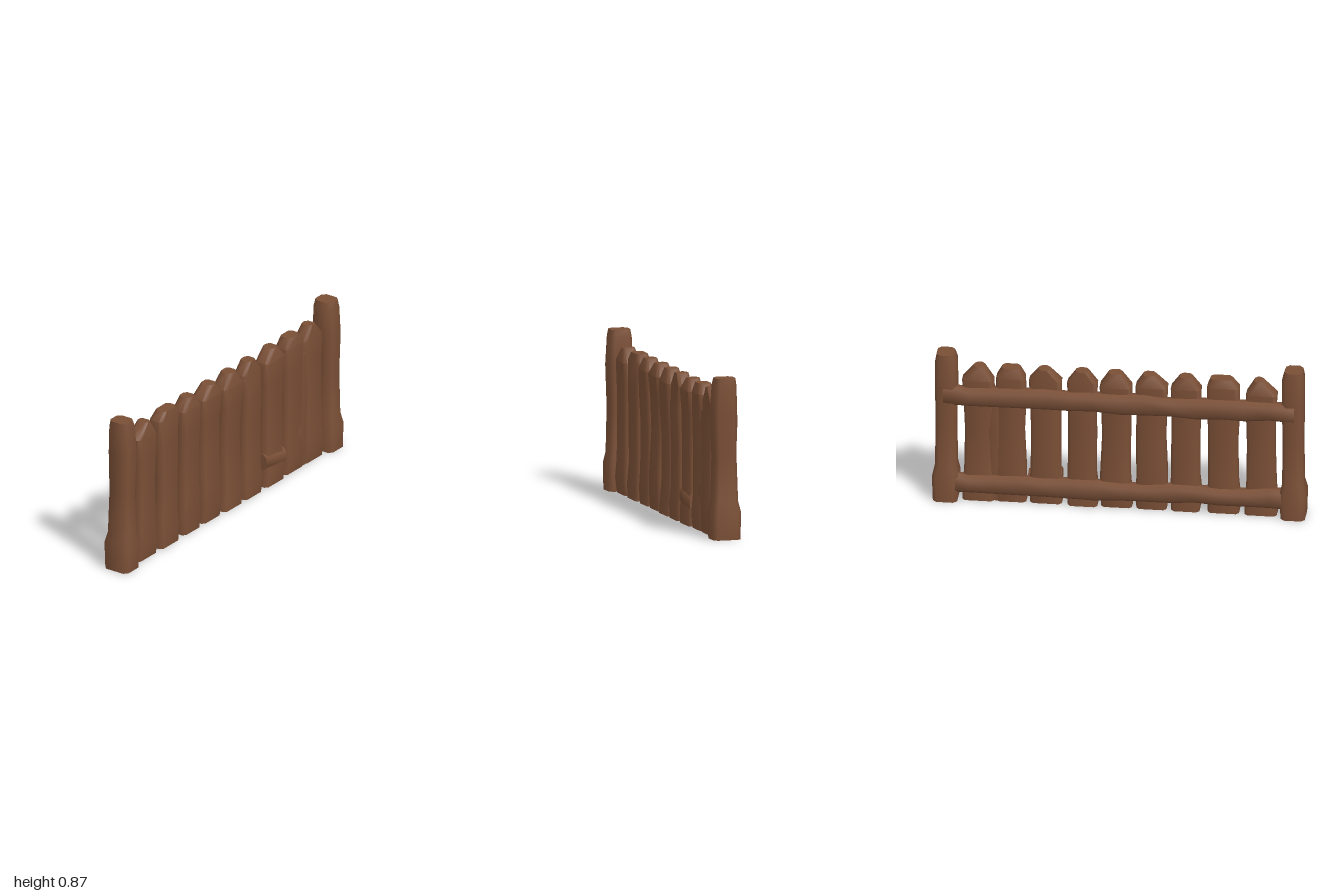
import * as THREE from 'three';
import { toCreasedNormals } from 'three/addons/utils/BufferGeometryUtils.js';

// Small repeatable wobble in -1..1
let seed = 7;
const wob = (amount) => {
  seed = (seed * 16807) % 2147483647;
  return (seed / 2147483647 * 2 - 1) * amount;
};

// Solid through chamfered rectangles: levels are [t, a0, a1, b0, b1]
function loft(levels, place, chamfer) {
  const pos = [], idx = [], n = 8;
  for (const [t, a0, a1, b0, b1] of levels) {
    const c = Math.min(chamfer, (a1 - a0) * 0.3, (b1 - b0) * 0.3);
    const ring = [[a0 + c, b0], [a1 - c, b0], [a1, b0 + c], [a1, b1 - c],
      [a1 - c, b1], [a0 + c, b1], [a0, b1 - c], [a0, b0 + c]];
    for (const [a, b] of ring) pos.push(...place(t, a, b));
  }
  const last = (levels.length - 1) * n;
  for (let l = 0; l < last; l += n) {
    for (let i = 0; i < n; i++) {
      const j = (i + 1) % n;
      idx.push(l + i, l + j, l + n + j, l + i, l + n + j, l + n + i);
    }
  }
  for (let i = 1; i < n - 1; i++) {
    idx.push(0, i + 1, i, last, last + i, last + i + 1);
  }
  const g = new THREE.BufferGeometry();
  g.setAttribute('position', new THREE.Float32BufferAttribute(pos, 3));
  g.setIndex(idx);
  return toCreasedNormals(g, 0.85);
}

const upright = (y, z, x) => [x, y, z];
const along = (z, x, y) => [x, y, z];

export function createModel() {
  const group = new THREE.Group();
  const wood = new THREE.MeshStandardMaterial({ color: 0x7a4f36 });
  wood.name = 'brown wood';
  const add = (name, geometry) => {
    const mesh = new THREE.Mesh(geometry, wood);
    mesh.name = name;
    group.add(mesh);
  };

  // End posts with a thicker foot
  for (const s of [1, -1]) {
    const span = (inner, outer) => s > 0 ? [inner, outer] : [-outer, -inner];
    add(s > 0 ? 'frontPost' : 'backPost', loft([
      [0.005, ...span(0.865, 0.995), -0.076, 0.075],
      [0.15, ...span(0.86, 1.0), -0.078, 0.076],
      [0.21, ...span(0.872, 0.985), -0.066, 0.066],
      [0.45, ...span(0.875, 0.982), -0.058, 0.061],
      [0.68, ...span(0.87, 0.985), -0.061, 0.068],
      [0.83, ...span(0.872, 0.985), -0.057, 0.059],
      [0.87, ...span(0.885, 0.978), -0.053, 0.054],
    ], upright, 0.02));
  }

  // Pickets: [low z, high z, peak low z, peak high z, shoulder height]
  const pickets = [
    [0.67, 0.84, 0.72, 0.765, 0.72],
    [0.465, 0.64, 0.485, 0.6, 0.75],
    [0.27, 0.435, 0.32, 0.385, 0.73],
    [0.083, 0.255, 0.125, 0.19, 0.73],
    [-0.105, 0.065, -0.06, 0.01, 0.72],
    [-0.28, -0.12, -0.235, -0.17, 0.73],
    [-0.485, -0.31, -0.435, -0.375, 0.73],
    [-0.665, -0.5, -0.63, -0.535, 0.74],
    [-0.84, -0.67, -0.78, -0.725, 0.72],
  ];
  pickets.forEach(([z0, z1, p0, p1, sh], i) => {
    const row = (y, inset, back, front) => [y, z0 + inset + wob(0.005),
      z1 - inset + wob(0.005), back + wob(0.006), front + wob(0.006)];
    add('picket' + (i + 1), loft([
      row(0.008, 0.003, -0.04, 0.05),
      row(0.09, 0, -0.042, 0.054),
      row(0.2, 0.005, -0.036, 0.048),
      row(0.42, 0.008, -0.034, 0.047),
      row(0.6, 0.004, -0.035, 0.051),
      row(sh, 0.002, -0.035, 0.053),
      [0.797, p0, p1, -0.024, 0.043],
    ], upright, 0.016));
  });

  // Web that joins the last two pickets
  add('joinedBoard', loft([
    [0.01, -0.72, -0.6, -0.03, 0.045],
    [0.4, -0.72, -0.6, -0.03, 0.045],
    [0.66, -0.7, -0.63, -0.03, 0.043],
  ], upright, 0.01));

  // Lump across the foot of one picket
  add('footLump', loft([
    [-0.49, -0.02, 0.054, 0.09, 0.18],
    [-0.4, -0.02, 0.059, 0.1, 0.19],
    [-0.31, -0.02, 0.054, 0.11, 0.2],
  ], along, 0.02));

  // Two uneven rails across the back
  for (const [name, y] of [['lowerRail', 0.112], ['upperRail', 0.63]]) {
    const levels = [];
    for (let i = 0; i <= 14; i++) {
      const mid = y + wob(0.006), half = 0.053 + wob(0.006);
      levels.push([-0.94 + i * 1.88 / 14, -0.07 + wob(0.004), 0.005, mid - half, mid + half]);
    }
    add(name, loft(levels, along, 0.022));
  }

  return group;
}
